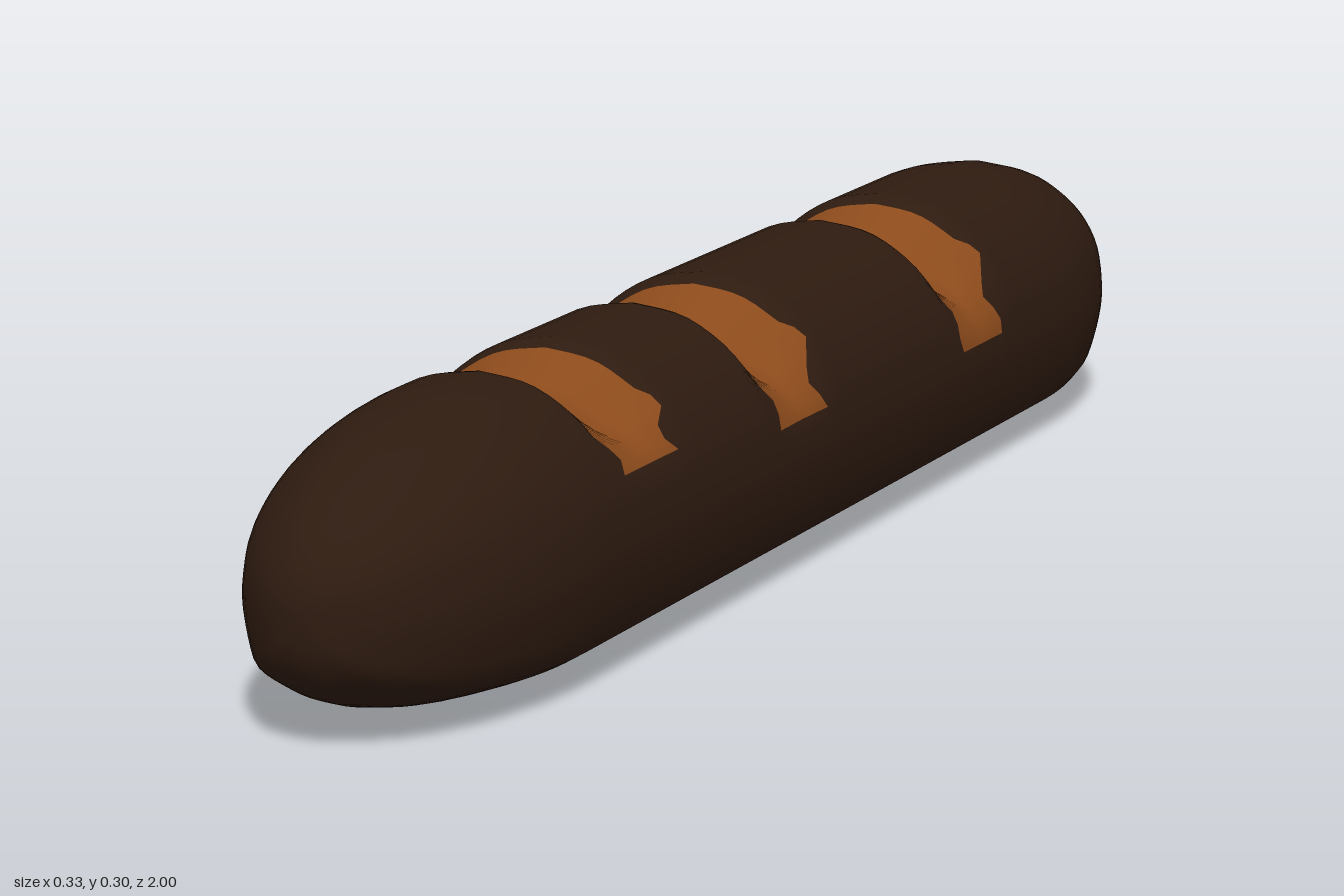
import * as THREE from 'three';

const AXIS_Y = 0.14;   // height of the loaf's long axis
const SEG = 64;        // points around the loaf

// Half cross-section from top to bottom, right side of the loaf
const halfSection = new THREE.SplineCurve([
  [0, 0.3], [0.06, 0.289], [0.115, 0.252], [0.15, 0.2], [0.162, 0.14], [0.16, 0.1],
  [0.146, 0.05], [0.13, 0.033], [0.1, 0.02], [0.05, 0.005], [0, 0],
].map(([x, y]) => new THREE.Vector2(x, y))).getSpacedPoints(SEG / 2);

// Full ring: down one side, then mirrored up the other
const ring = Array.from({ length: SEG + 1 }, (_, j) => {
  const p = halfSection[j <= SEG / 2 ? j : SEG - j];
  return { x: j <= SEG / 2 ? p.x : -p.x, y: p.y };
});

// Baker's cuts: position, depth and how far down the side the crumb shows
const cuts = [
  { z: -0.38, depth: 0.05, low: 0.163 },
  { z: 0.14, depth: 0.05, low: 0.165 },
  { z: 0.52, depth: 0.04, low: 0.2 },
];

const lerp = THREE.MathUtils.lerp;

// Half width of a cut at section height y: straight on top, flared, pinched, flared again
function cutHalfWidth(y, low) {
  const waist = lerp(low, 0.25, 0.45);
  if (y > 0.265) return 0.072;
  if (y > 0.245) return lerp(0.088, 0.072, (y - 0.245) / 0.02);
  if (y > waist) return lerp(0.048, 0.088, (y - waist) / (0.245 - waist));
  if (y > low) return lerp(0.068, 0.048, (y - low) / (waist - low));
  return 0.06;
}

// Point on the loaf: section tapered to rounded ends, notched at each cut
function loafPoint({ x, y }, z) {
  const t = Math.max(0, (Math.abs(z) - 0.65) / 0.35);
  const s = Math.sqrt(Math.max(0, 1 - t * t));
  let dy = (y - AXIS_Y) * (y > AXIS_Y ? s : s ** 0.6);
  let dx = x * s;
  for (const c of cuts) {
    const notch = Math.max(0, 1 - Math.abs(z - c.z) / 0.088);
    const fade = THREE.MathUtils.smoothstep(y, c.low - 0.01, 0.27);
    const k = 1 - (c.depth / 0.16) * notch * fade;
    dx *= k;
    dy *= k;
  }
  return [dx, AXIS_Y + dy, z];
}

export function createModel() {
  const positions = [];
  const crustIndex = [];
  const crumbIndex = [];
  const rows = [];

  // Rows along the loaf: alternating crust stretches and cuts
  const bands = cuts.length * 2 + 1;
  for (let b = 0; b < bands; b++) {
    const n = b % 2 ? 8 : 26;
    for (let i = b ? 1 : 0; i <= n; i++) {
      const t = b % 2 ? i / n : (1 - Math.cos(Math.PI * i / n)) / 2;
      rows.push({ b, t });
    }
  }

  // Edge e of the cuts at section height y (0 and last are the loaf's tips)
  const edge = (e, y) => {
    if (e === 0) return -1;
    if (e === bands) return 1;
    const c = cuts[(e - 1) >> 1];
    return c.z + (e % 2 ? -1 : 1) * cutHalfWidth(y, c.low);
  };

  for (const { b, t } of rows) {
    for (const p of ring) positions.push(...loafPoint(p, lerp(edge(b, p.y), edge(b + 1, p.y), t)));
  }

  // Sort the faces into crust and exposed crumb
  const stride = SEG + 1;
  for (let r = 0; r < rows.length - 1; r++) {
    const band = rows[r + 1].b;
    for (let j = 0; j < SEG; j++) {
      const midY = (ring[j].y + ring[j + 1].y) / 2;
      const isCrumb = band % 2 === 1 && midY > cuts[band >> 1].low;
      const a = r * stride + j;
      const c = a + stride;
      (isCrumb ? crumbIndex : crustIndex).push(a, c, a + 1, a + 1, c, c + 1);
    }
  }

  // Smooth normals shared by both parts, joined across the ring's seam
  const whole = new THREE.BufferGeometry();
  whole.setAttribute('position', new THREE.Float32BufferAttribute(positions, 3));
  whole.setIndex([...crustIndex, ...crumbIndex]);
  whole.computeVertexNormals();
  const normals = whole.attributes.normal;
  for (let r = 0; r < rows.length; r++) {
    const a = r * stride;
    const n = new THREE.Vector3().fromBufferAttribute(normals, a)
      .add(new THREE.Vector3().fromBufferAttribute(normals, a + SEG)).normalize();
    if (r === 0 || r === rows.length - 1) {
      for (let j = 0; j <= SEG; j++) normals.setXYZ(a + j, 0, 0, r ? 1 : -1);
    } else {
      normals.setXYZ(a, n.x, n.y, n.z);
      normals.setXYZ(a + SEG, n.x, n.y, n.z);
    }
  }

  const part = (name, index, color) => {
    const g = new THREE.BufferGeometry();
    g.setAttribute('position', whole.attributes.position);
    g.setAttribute('normal', normals);
    g.setIndex(index);
    const mesh = new THREE.Mesh(g, new THREE.MeshStandardMaterial({ color }));
    mesh.name = name;
    return mesh;
  };

  const loaf = new THREE.Group();
  loaf.name = 'breadLoaf';
  loaf.add(part('crust', crustIndex, 0x2e1b10), part('scoredCrumb', crumbIndex, 0x8b4a1b));
  return loaf;
}
